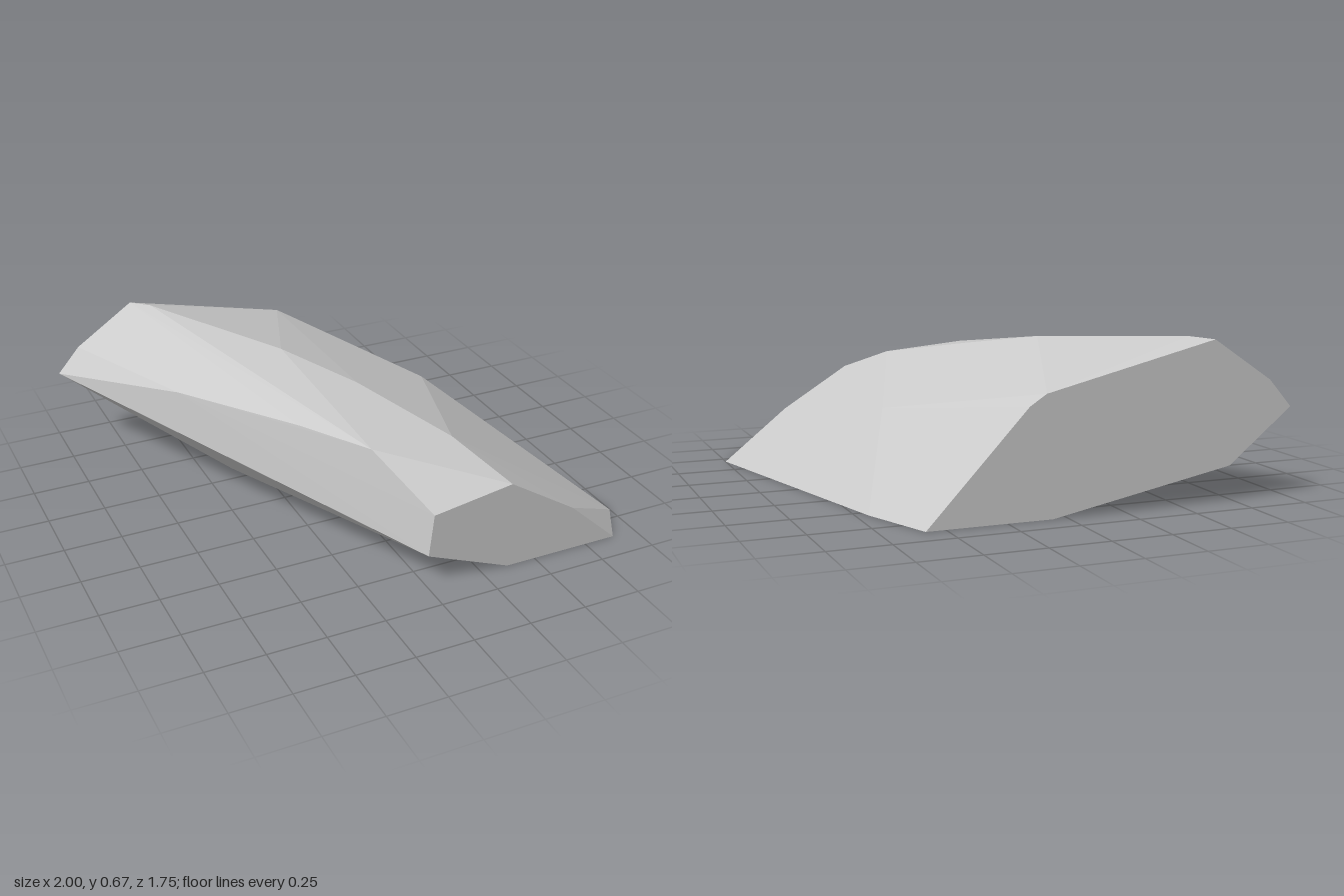
import * as THREE from 'three';
import { ConvexGeometry } from 'three/addons/geometries/ConvexGeometry.js';

// A faceted boulder: the convex hull of its corner points.
export function createModel() {
  const group = new THREE.Group();
  group.name = 'rock';
  const stone = new THREE.MeshStandardMaterial({ color: 0xcacaca });
  stone.name = 'stone grey';

  // Flat cut ends, as x, y pairs
  const frontEnd = [[0, 0.15], [0.02, 0.335], [0.37, 0.39], [0.67, 0.2], [0.89, 0], [0.37, 0]];
  const backEnd = [[-1, 0.375], [-0.9, 0.49], [-0.64, 0.665], [0.09, 0.49], [0.16, 0.445],
    [0.58, 0], [0.06, 0], [-0.72, 0.15]];
  // Corners between the ends
  const body = [
    [-0.57, 0.672, -0.79], [-0.17, 0.627, -0.2], [0.04, 0.57, 0.13], // ridge
    [-0.12, 0.522, 0.595], [0.25, 0.49, 0.585], // front shoulder
    [-0.3, 0.52, 0.29], [-0.63, 0.485, -0.26], // steep side
    [0.52, 0.355, -0.18], [0.7, 0, -0.55], [1, 0, 0.69], // sloping side
    [-0.45, 0.135, -0.12], // undercut
  ];

  const points = [
    ...frontEnd.map(([x, y]) => new THREE.Vector3(x, y, 0.874)),
    ...backEnd.map(([x, y]) => new THREE.Vector3(x, y, -0.874)),
    ...body.map((p) => new THREE.Vector3(...p)),
  ];
  const boulder = new THREE.Mesh(new ConvexGeometry(points), stone);
  boulder.name = 'boulder';
  group.add(boulder);
  return group;
}
